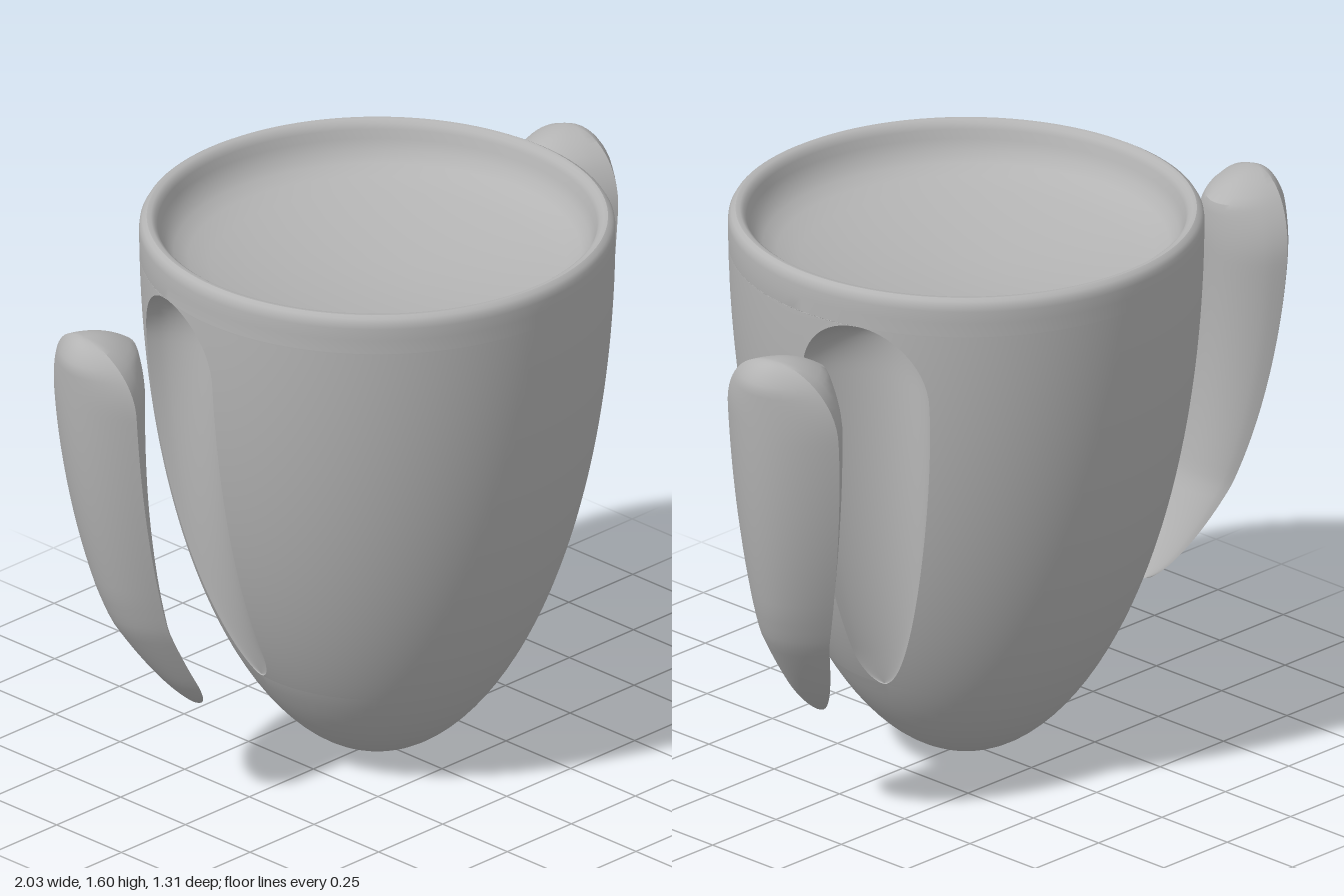
import * as THREE from 'three';
import { mergeGeometries, toCreasedNormals } from 'three/addons/utils/BufferGeometryUtils.js';

const grey = new THREE.MeshStandardMaterial({ color: 0xb4b4b4 });
grey.name = 'grey';

const LOW = 0.315, HIGH = 1.49; // ends of the side pockets
const { sqrt, max, min, acos, sin, cos, PI } = Math;
const lerp = THREE.MathUtils.lerp;
const arc = u => sqrt(max(0, 1 - u * u));

// Outer radius of the cup at a height
const radius = y => 0.655 * sqrt(max(0, 1 - (max(0, 1 - y / 1.6)) ** 2.1));
const skinX = (y, z) => sqrt(max(0, radius(y) ** 2 - z * z));

// Front and back edges (z) of the pocket outline at a height
function frontZ(y) {
  if (y < 0.42) return -0.065 + 0.065 * arc((0.42 - y) / 0.105);
  if (y > 1.3) return -0.19 + 0.19 * arc((y - 1.3) / 0.19);
  return 0;
}
function backZ(y) {
  if (y > 1.28) return -0.19 - 0.18 * arc((y - 1.28) / 0.21);
  return -0.065 - 0.305 * max(0, 1 - ((1.28 - y) / 0.965) ** 1.7) ** 0.65;
}
const scoop = (y, t) =>
  0.125 * max(0, (y - 0.28) / 0.92) * sqrt(min(1, max(0, (HIGH - y) / 0.06))) * (4 * t * (1 - t)) ** 0.8;

// Surface from a rule: point(row, t) with t running 0..1 across
function grid(rows, cols, point, flip = false) {
  const pos = [], index = [];
  rows.forEach((row, i) => {
    for (let j = 0; j <= cols; j++) {
      pos.push(...point(row, j / cols));
      if (i === 0 || j === 0) continue;
      const d = i * (cols + 1) + j, c = d - 1, b = d - cols - 1, a = b - 1;
      if (flip) index.push(a, d, b, a, c, d);
      else index.push(a, b, d, a, d, c);
    }
  });
  const g = new THREE.BufferGeometry();
  g.setAttribute('position', new THREE.Float32BufferAttribute(pos, 3));
  g.setIndex(index);
  return g;
}

// Merge sheets and smooth them, keeping edges sharp (scaled up for precise welding)
function makeMesh(name, sheets) {
  const merged = mergeGeometries(sheets).scale(100, 100, 100);
  const g = toCreasedNormals(merged, 0.6).scale(0.01, 0.01, 0.01);
  const mesh = new THREE.Mesh(g, grey);
  mesh.name = name;
  return mesh;
}

// Heights inside the pocket, closer together at its rounded ends
const pocketRows = Array.from({ length: 57 }, (_, i) => lerp(LOW, HIGH, (1 - cos(PI * i / 56)) / 2));

function cup() {
  // Profile: pointed bowl, straight side, rounded rim, shallow dished top
  const rows = [];
  for (let i = 0; i < 14; i++) {
    const y = LOW * (i / 14) ** 2;
    rows.push([radius(y), y]);
  }
  pocketRows.forEach(y => rows.push([radius(y), y]));
  rows.push([radius(1.53), 1.53], [0.655, 1.565], [0.653, 1.58], [0.646, 1.592], [0.634, 1.599],
    [0.622, 1.598], [0.611, 1.59], [0.604, 1.575], [0.598, 1.55], [0.585, 1.52], [0.56, 1.492],
    [0.52, 1.472], [0.46, 1.455], [0.36, 1.433], [0.24, 1.415], [0.12, 1.404], [0, 1.4]);
  const edges = rows.map(([r, y], i) => {
    const h = i > 70 ? HIGH : min(HIGH, max(LOW, y));
    return { r, y, front: acos(frontZ(h) / radius(h)), back: acos(backZ(h) / radius(h)) };
  });
  const at = (e, a) => [e.r * sin(a), e.y, e.r * cos(a)];
  const sheets = [
    grid(edges, 64, (e, t) => at(e, lerp(-e.front, e.front, t))),
    grid(edges, 64, (e, t) => at(e, lerp(e.back, 2 * PI - e.back, t))),
  ];
  // Scooped pocket on each side
  for (const s of [1, -1]) {
    sheets.push(grid(pocketRows, 20, (y, t) => {
      const f = frontZ(y), b = backZ(y);
      const x = lerp(skinX(y, f), skinX(y, b), t) - scoop(y, t);
      return [s * x, y, lerp(f, b, t)];
    }, s < 0));
  }
  return makeMesh('cupBody', sheets);
}

// Lens-shaped insert floating outside its pocket
function insert(name, s) {
  const edgeX = (y, z) => skinX(y, z) + 0.295 - 0.17 * z - 0.2 * max(0, 0.6 - y);
  const outer = (y, t) => {
    const f = frontZ(y), b = backZ(y), z = lerp(f, b, t);
    const bulge = 0.065 * 4 * t * (1 - t) * min(1, (f - b) / 0.28);
    return [s * (edgeX(y, z) + bulge), y, z];
  };
  const inner = (y, t) => {
    const f = frontZ(y), b = backZ(y);
    return [s * (lerp(edgeX(y, f), edgeX(y, b), t) - scoop(y, t)), y, lerp(f, b, t)];
  };
  return makeMesh(name, [grid(pocketRows, 20, outer, s < 0), grid(pocketRows, 20, inner, s > 0)]);
}

export function createModel() {
  const group = new THREE.Group();
  group.name = 'cupWithSideInserts';
  group.add(cup(), insert('leftInsert', 1), insert('rightInsert', -1));
  return group;
}
